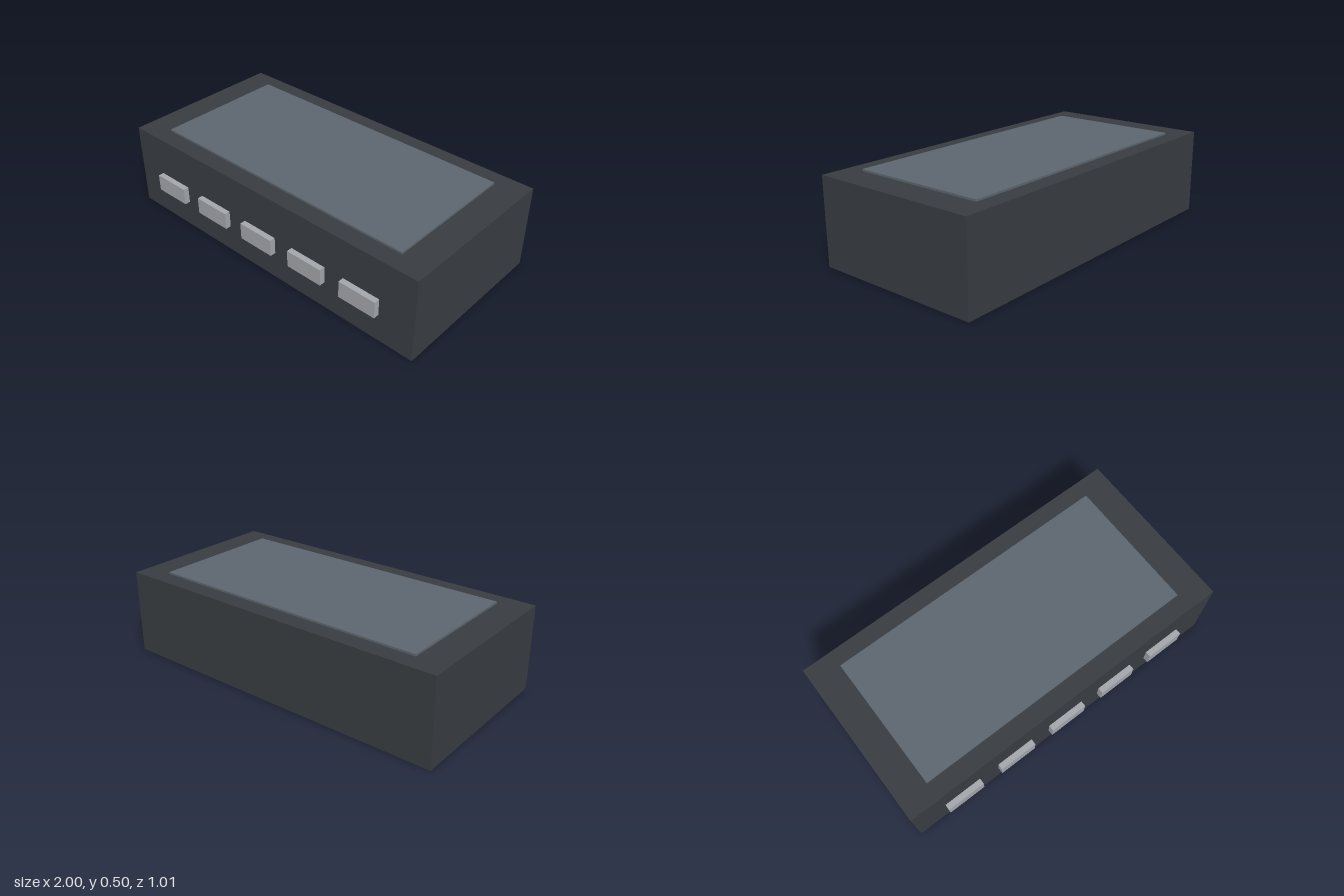
import * as THREE from 'three';

const casing = new THREE.MeshStandardMaterial({ color: 0x383c41 });
casing.name = 'charcoal casing';
const glass = new THREE.MeshStandardMaterial({ color: 0x5c666e });
glass.name = 'slate panel';
const plastic = new THREE.MeshStandardMaterial({ color: 0xa2a5aa });
plastic.name = 'light grey button';

// Box given by its minimum and maximum corners
function box(name, material, min, max) {
  const size = max.map((v, i) => v - min[i]);
  const mesh = new THREE.Mesh(new THREE.BoxGeometry(...size), material);
  mesh.position.set(...max.map((v, i) => (v + min[i]) / 2));
  mesh.name = name;
  return mesh;
}

export function createModel() {
  const model = new THREE.Group();
  model.name = 'buttonBox';

  // Main casing and the raised panel on its top
  model.add(box('casing', casing, [-1, 0, -0.505], [1, 0.49, 0.472]));
  model.add(box('topPanel', glass, [-0.83, 0.48, -0.405], [0.83, 0.501, 0.37]));

  // Row of five buttons across the front
  const buttons = new THREE.Group();
  buttons.name = 'frontButtons';
  for (let i = 0; i < 5; i++) {
    const x = -0.011 + (i - 2) * 0.345;
    buttons.add(box(`button${i + 1}`, plastic, [x - 0.112, 0.163, 0.46], [x + 0.112, 0.261, 0.505]));
  }
  model.add(buttons);

  return model;
}
